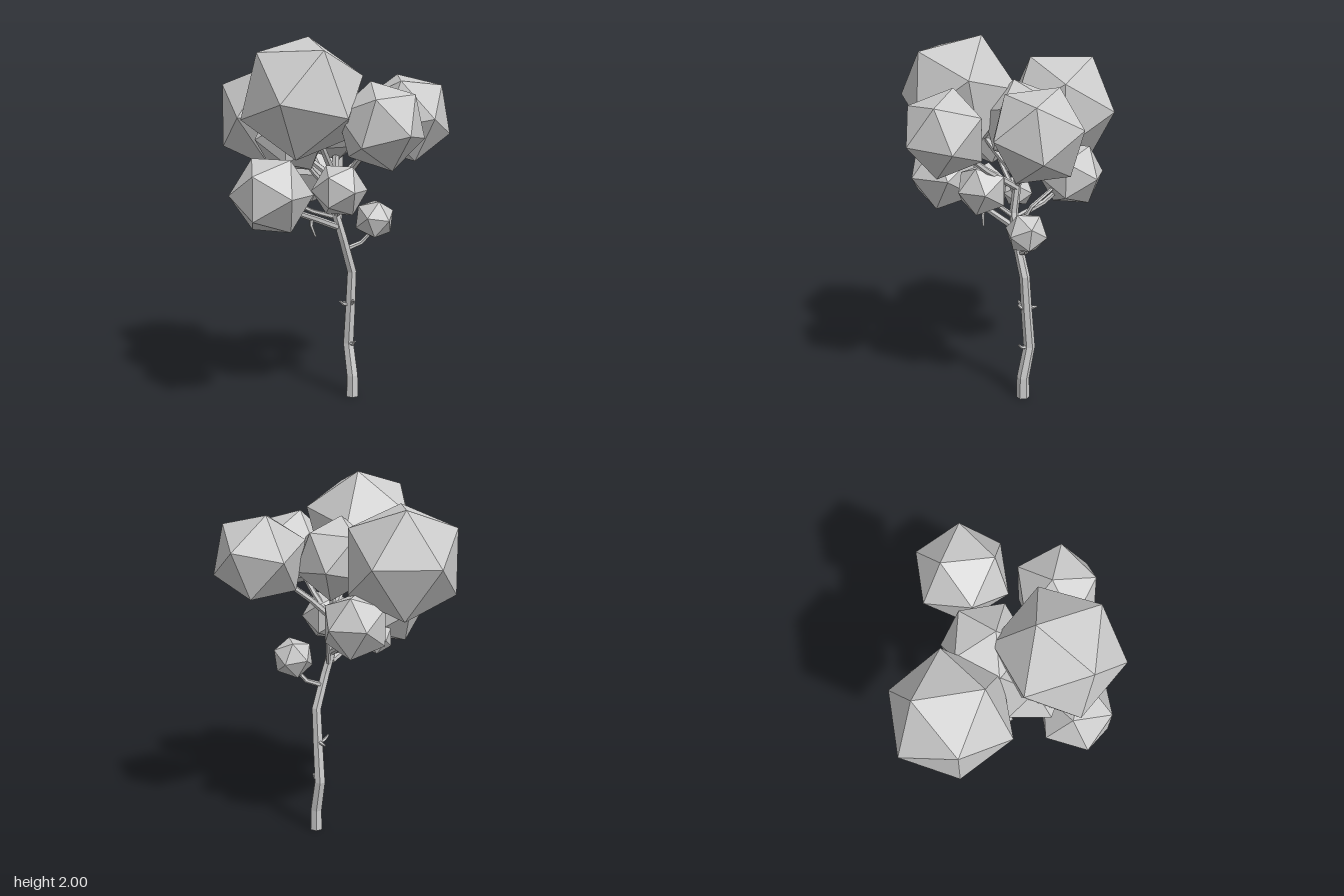
import * as THREE from 'three';

const V = (p) => new THREE.Vector3(...p);
const material = new THREE.MeshStandardMaterial({ color: 0xcccccc, flatShading: true });

// Orthonormal frame whose x axis is a and whose xy plane holds b
function frame(a, b) {
  const x = a.clone().normalize();
  const z = x.clone().cross(b).normalize();
  return new THREE.Matrix4().makeBasis(x, z.clone().cross(x), z);
}

// Two neighbouring corners of the built-in icosahedron
const PHI = (1 + Math.sqrt(5)) / 2;
const SOURCE = frame(V([0, 1, PHI]), V([0, -1, PHI])).transpose();

// Leaf clump: one corner points along a, a neighbouring corner leans to b
function leafClump(name, center, r, a, b) {
  const geo = new THREE.IcosahedronGeometry(r, 0);
  geo.applyMatrix4(frame(V(a), V(b)).multiply(SOURCE));
  const mesh = new THREE.Mesh(geo, material);
  mesh.position.set(...center);
  mesh.name = name;
  return mesh;
}

// Tapered faceted limb through the points, closed at both ends
function limb(name, points, r0, r1, sides = 6) {
  const pts = points.map(V);
  const n = pts.length;
  const whole = pts[n - 1].clone().sub(pts[0]).normalize();
  const ref = Math.abs(whole.z) < 0.8 ? V([0, 0, 1]) : V([1, 0, 0]);
  const pos = [], index = [];
  pts.forEach((p, i) => {
    const dir = new THREE.Vector3();
    if (i > 0) dir.add(p.clone().sub(pts[i - 1]).normalize());
    if (i < n - 1) dir.add(pts[i + 1].clone().sub(p).normalize());
    dir.normalize();
    const u = ref.clone().cross(dir).normalize();
    const w = dir.clone().cross(u);
    const r = r0 + (r1 - r0) * i / (n - 1);
    for (let s = 0; s < sides; s++) {
      const t = (s / sides) * Math.PI * 2;
      const q = p.clone().addScaledVector(u, r * Math.cos(t)).addScaledVector(w, r * Math.sin(t));
      pos.push(q.x, q.y, q.z);
    }
  });
  for (let i = 0; i < n - 1; i++) {
    for (let s = 0; s < sides; s++) {
      const a = i * sides + s, b = i * sides + (s + 1) % sides;
      index.push(a, b, b + sides, a, b + sides, a + sides);
    }
  }
  const last = (n - 1) * sides;
  for (let s = 1; s < sides - 1; s++) {
    index.push(0, s + 1, s, last, last + s, last + s + 1);
  }
  const geo = new THREE.BufferGeometry();
  geo.setAttribute('position', new THREE.Float32BufferAttribute(pos, 3));
  geo.setIndex(index);
  const flat = geo.toNonIndexed();
  flat.computeVertexNormals();
  const mesh = new THREE.Mesh(flat, material);
  mesh.name = name;
  return mesh;
}

export function createModel() {
  const tree = new THREE.Group();
  tree.name = 'tree';

  // Crooked trunk
  tree.add(limb('trunk', [
    [0.133, 0, 0.057], [0.133, 0.12, 0.057], [0.133, 0.3, 0.015], [0.133, 0.5, 0.032],
    [0.133, 0.72, 0.047], [0.07, 0.91, 0.055], [0.025, 1.06, 0.045], [0.035, 1.25, 0.025],
    [0.06, 1.45, 0],
  ], 0.037, 0.02));

  // Branches, each ending inside a leaf clump
  const branches = [
    ['lowRightBranch', [[0.03, 0.98, 0.05], [-0.13, 1.04, 0.1], [-0.3, 1.1, 0.17], [-0.42, 1.17, 0.19]], 0.02, 0.014],
    ['lowLeftBranch', [[0.1, 0.85, 0.05], [0.18, 0.88, 0.07], [0.21, 0.92, 0.09], [0.24, 1, 0.1]], 0.015, 0.01],
    ['highLeftBranch', [[0.035, 1.22, 0.03], [0.15, 1.33, 0.07], [0.36, 1.5, 0.15]], 0.02, 0.014],
    ['backBranch', [[0.035, 1.03, 0.04], [0.07, 1.1, -0.12], [0.1, 1.2, -0.25]], 0.018, 0.012],
    ['highBackBranch', [[0.035, 1.24, 0.02], [-0.03, 1.34, -0.15], [-0.12, 1.5, -0.34]], 0.02, 0.014],
    ['frontBranch', [[0.035, 1.2, 0.03], [0.03, 1.32, 0.22], [0.03, 1.48, 0.42]], 0.02, 0.014],
    ['highRightBranch', [[0.035, 1.25, 0.02], [-0.08, 1.4, 0.1], [-0.22, 1.6, 0.18]], 0.022, 0.015],
    ['innerFrontBranch', [[0.03, 1.04, 0.05], [0, 1.1, 0.12], [-0.04, 1.18, 0.19]], 0.015, 0.01],
    ['innerRightBranch', [[0.03, 1.15, 0.03], [-0.1, 1.28, 0.03], [-0.22, 1.42, 0.03]], 0.016, 0.012],
    ['innerBackBranch', [[0.03, 1.03, 0.04], [-0.07, 1.06, -0.03], [-0.16, 1.11, -0.1]], 0.014, 0.01],
    ['sideBranch', [[0.05, 0.95, 0.05], [0.1, 1.1, -0.02], [0.11, 1.2, -0.18]], 0.014, 0.01],
  ];
  for (const [name, points, r0, r1] of branches) tree.add(limb(name, points, r0, r1));

  // Short bare twigs
  const twigs = [
    [[0.12, 0.525, 0.03], [0.085, 0.535, 0.035], [0.06, 0.555, 0.04]],
    [[0.133, 0.535, 0.03], [0.13, 0.527, -0.01], [0.13, 0.525, -0.035]],
    [[0.133, 0.53, 0.04], [0.125, 0.54, 0.065], [0.12, 0.56, 0.082]],
    [[0.133, 0.3, 0.03], [0.133, 0.305, 0.065], [0.133, 0.325, 0.085]],
    [[-0.16, 1.06, 0.11], [-0.17, 1.01, 0.12], [-0.15, 0.95, 0.13]],
  ];
  for (const points of twigs) tree.add(limb('twig', points, 0.013, 0.006, 5));

  // Leaf clumps: name, centre, radius, corner direction, neighbouring corner
  const clumps = [
    ['topClump', [-0.27, 1.69, 0.2], 0.334, [0.09, 0.31, -0.09], [-0.235, 0.236, -0.03]],
    ['backTopClump', [-0.13, 1.57, -0.38], 0.33, [0, 0, -1], [0.89, 0, -0.45]],
    ['leftClump', [0.41, 1.57, 0.16], 0.26, [0, 0, -1], [0.08, 0.89, -0.45]],
    ['frontClump', [0.035, 1.55, 0.47], 0.235, [-0.015, 0.04, -0.23], [-0.022, 0.205, -0.08]],
    ['rightClump', [-0.45, 1.2, 0.195], 0.216, [0, 0, 1], [0.89, 0, 0.45]],
    ['centreClump', [0.04, 1.555, -0.01], 0.23, [0.186, 0.16, -0.02], [0.02, 0.15, -0.2]],
    ['innerRightClump', [-0.24, 1.48, 0.03], 0.205, [-0.07, 0.02, -0.19], [-0.2, 0, -0.1]],
    ['backClump', [0.1, 1.245, -0.285], 0.188, [0.05, 0, -0.18], [0.177, 0, -0.08]],
    ['innerFrontClump', [-0.045, 1.2, 0.2], 0.15, [0, 0, 1], [0.89, 0, 0.45]],
    ['lowLeftClump', [0.24, 1.012, 0.11], 0.116, [0.02, 0, 0.11], [0.09, 0.04, 0.05]],
    ['smallBackClump', [-0.16, 1.115, -0.105], 0.094, [0, 0, -1], [0.3, 0.84, -0.45]],
  ];
  for (const c of clumps) tree.add(leafClump(...c));

  return tree;
}
